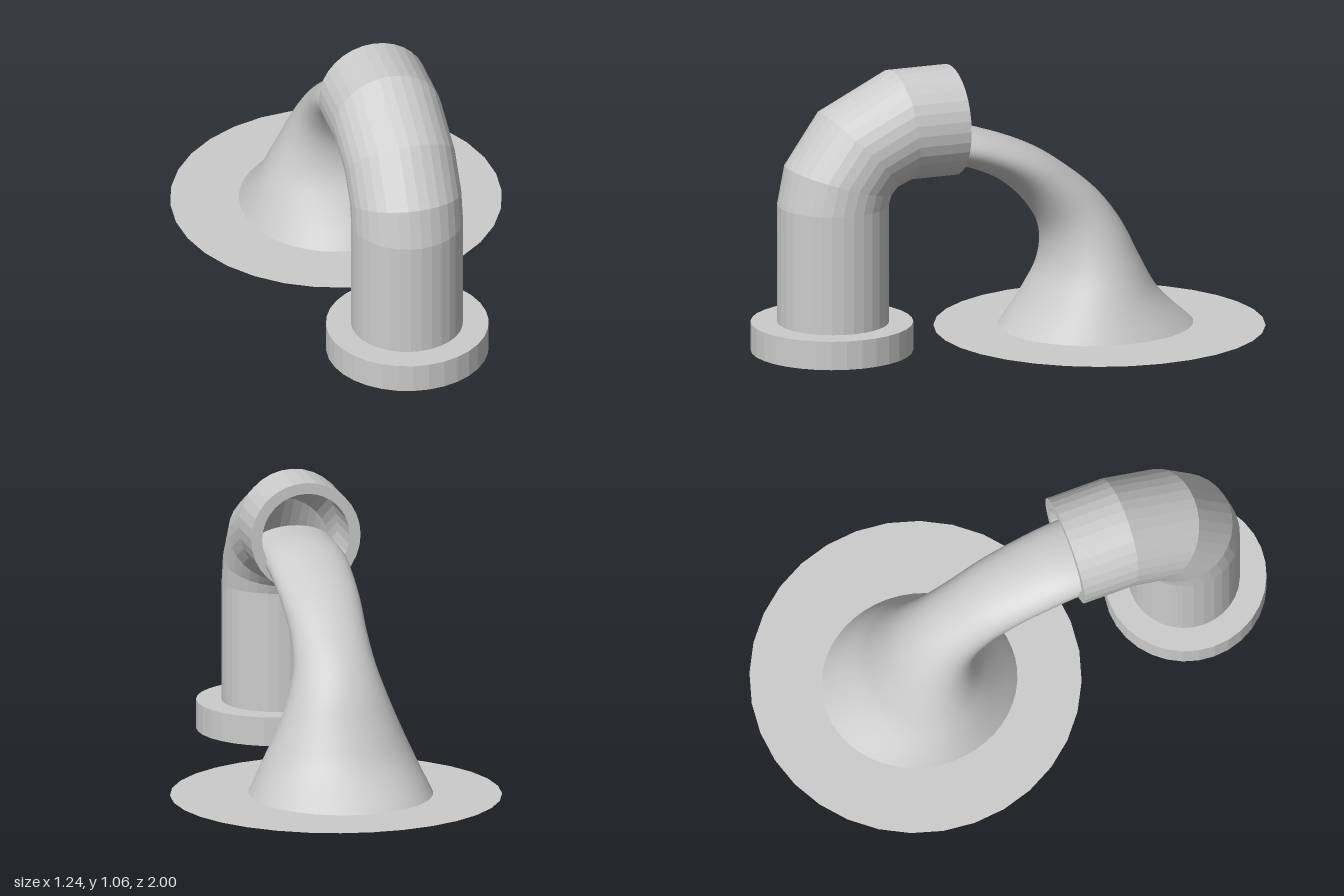
import * as THREE from 'three';

const SIDES = 32;
const CX = -0.02; // pipe and stream axis in x

// Skin a row of elliptical rings; each ring is { a, b, w }:
// a and b are opposite points [z, y], w is the half width in x.
function loft(rings, sides) {
  const pos = [], index = [];
  rings.forEach(({ a, b, w }, i) => {
    const cz = (a[0] + b[0]) / 2, cy = (a[1] + b[1]) / 2;
    for (let j = 0; j < sides; j++) {
      const t = (j / sides) * Math.PI * 2, c = Math.cos(t);
      pos.push(CX + Math.sin(t) * w, cy + (a[1] - cy) * c, cz + (a[0] - cz) * c);
      if (i === 0) continue;
      const k = (j + 1) % sides, p = (i - 1) * sides, q = i * sides;
      index.push(p + j, p + k, q + k, p + j, q + k, q + j);
    }
  });
  const g = new THREE.BufferGeometry();
  g.setAttribute('position', new THREE.Float32BufferAttribute(pos, 3));
  g.setIndex(index);
  g.computeVertexNormals();
  return g;
}

function material(flatShading) {
  return new THREE.MeshStandardMaterial({ color: 0xcccccc, flatShading, side: THREE.DoubleSide });
}

function addMesh(group, name, geometry, mat) {
  const mesh = new THREE.Mesh(geometry, mat);
  mesh.name = name;
  group.add(mesh);
  return mesh;
}

export function createModel() {
  const group = new THREE.Group();
  const flat = material(true), smooth = material(false);

  // Elbow pipe: outer wall up and over, rim, then inner wall back down
  const outer = [
    [[0.90, 0.115], [0.48, 0.115]],
    [[0.90, 0.57], [0.48, 0.57]],
    [[0.87, 0.72], [0.47, 0.60]],
    [[0.73, 0.92], [0.45, 0.62]],
    [[0.45, 1.058], [0.40, 0.64]],
    [[0.215, 1.058], [0.215, 0.64]],
  ].map(([a, b]) => ({ a, b, w: 0.21 }));
  const inset = 0.1; // wall thickness as a share of the diameter
  const mix = (p, q) => p.map((v, i) => v + (q[i] - v) * inset);
  const inner = outer.map(({ a, b, w }) => ({ a: mix(a, b), b: mix(b, a), w: w * (1 - 2 * inset) }));
  addMesh(group, 'elbowPipe', loft([...outer, ...inner.reverse()], SIDES), flat);

  // Base flange, open underneath
  const flangeProfile = [[0.305, 0.005], [0.305, 0.115], [0.168, 0.115]]
    .map(([r, y]) => new THREE.Vector2(r, y));
  const flange = addMesh(group, 'baseFlange', new THREE.LatheGeometry(flangeProfile, SIDES), flat);
  flange.position.set(CX, 0, 0.695);

  // Pouring stream: upper edge, lower edge and half width, splined
  const stations = [
    [0.45, 0.84, 0.45, 0.69, 0.155],
    [0.22, 0.832, 0.22, 0.68, 0.155],
    [0.05, 0.787, 0.09, 0.637, 0.152],
    [-0.12, 0.715, 0, 0.585, 0.148],
    [-0.25, 0.628, -0.08, 0.51, 0.145],
    [-0.37, 0.525, -0.14, 0.42, 0.155],
    [-0.46, 0.405, -0.16, 0.34, 0.185],
    [-0.53, 0.265, -0.148, 0.24, 0.232],
    [-0.60, 0.14, -0.09, 0.13, 0.285],
    [-0.74, 0.005, 0, 0.005, 0.345],
  ];
  const edge = (k) => new THREE.CatmullRomCurve3(
    stations.map((s) => new THREE.Vector3(s[k], s[k + 1], s[4])));
  const upper = edge(0), lower = edge(2);
  const streamRings = [];
  for (let i = 0; i <= 36; i++) {
    const p = upper.getPoint(i / 36), q = lower.getPoint(i / 36);
    streamRings.push({ a: [p.x, p.y], b: [q.x, q.y], w: p.z });
  }
  addMesh(group, 'waterStream', loft(streamRings, 48), smooth);

  // Flat puddle under the stream
  const puddle = addMesh(group, 'puddle', new THREE.CircleGeometry(0.622, SIDES), smooth);
  puddle.rotation.x = -Math.PI / 2;
  puddle.position.z = -0.378;

  return group;
}
